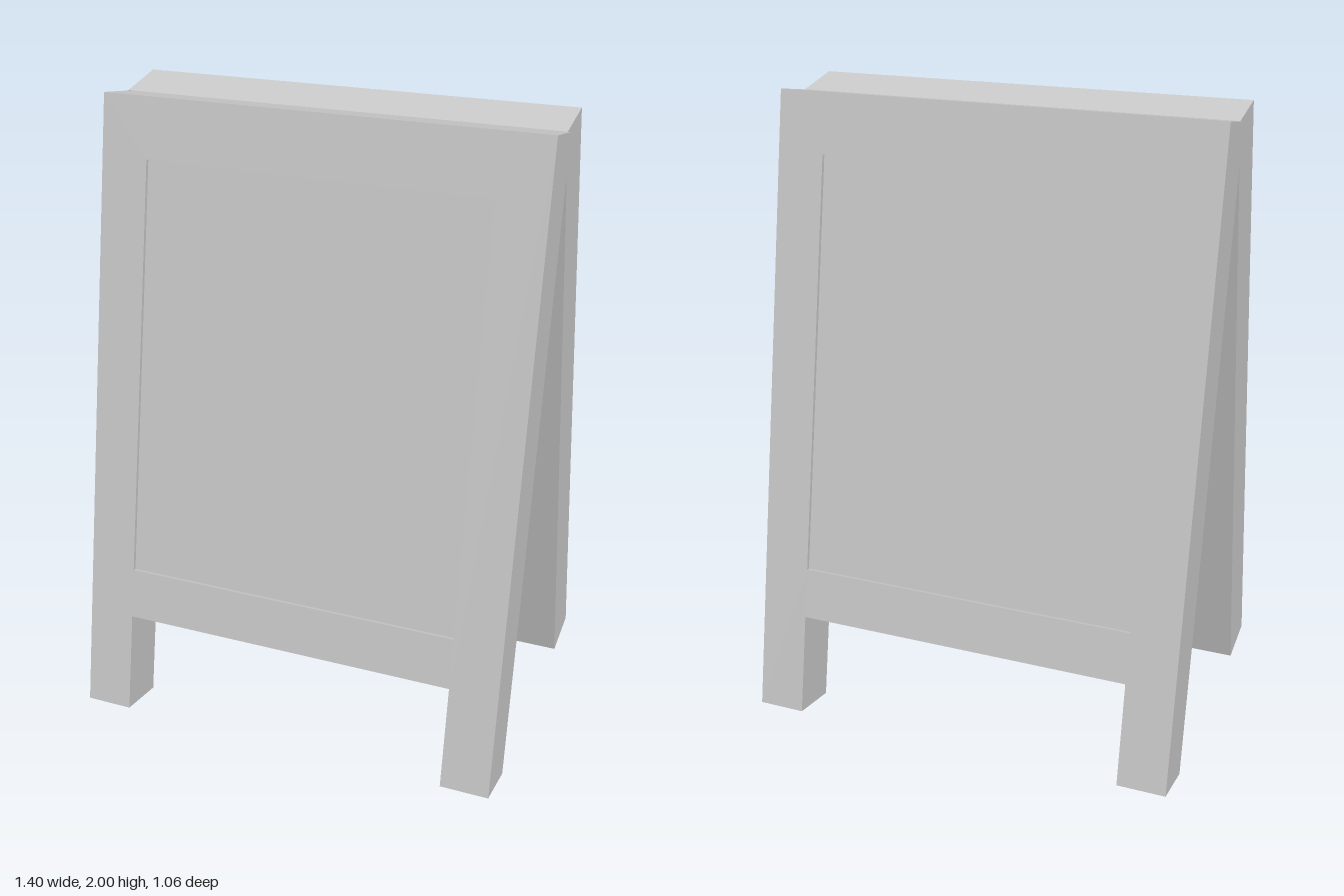
import * as THREE from 'three';

const LENGTH = 2.003, THICK = 0.168, TILT = 0.183, HINGE_Y = 1.97;
const X0 = -0.69, X1 = 0.70;            // outer edges of a panel
const IN0 = -0.54, IN1 = 0.545;         // inner edges of the legs and opening
const RAIL = 0.33, LOW = 0.493, HIGH = 1.816, RECESS = 0.012;

const material = new THREE.MeshStandardMaterial({ color: 0xcccccc, flatShading: true, side: THREE.DoubleSide });

// Remove the end caps of the legs so that the feet are open tubes
function openFeet(geometry) {
  const p = geometry.attributes.position, kept = [];
  for (let i = 0; i < p.count; i += 3) {
    const atFoot = [0, 1, 2].every(k => Math.abs(p.getY(i + k)) < 1e-5);
    if (!atFoot) kept.push(...p.array.slice(i * 3, i * 3 + 9));
  }
  const open = new THREE.BufferGeometry();
  open.setAttribute('position', new THREE.Float32BufferAttribute(kept, 3));
  open.computeVertexNormals();
  return open;
}

function createPanel(name) {
  const panel = new THREE.Group();
  panel.name = name;

  // Frame outline with two legs and a window for the board
  const outline = [[X0, 0], [IN0, 0], [IN0, RAIL], [IN1, RAIL], [IN1, 0], [X1, 0], [X1, LENGTH], [X0, LENGTH]];
  const shape = new THREE.Shape(outline.map(([x, y]) => new THREE.Vector2(x, y)));
  const hole = [[IN0, LOW], [IN0, HIGH], [IN1, HIGH], [IN1, LOW]];
  shape.holes.push(new THREE.Path(hole.map(([x, y]) => new THREE.Vector2(x, y))));
  const extruded = new THREE.ExtrudeGeometry(shape, { depth: THICK, bevelEnabled: false });
  const frame = new THREE.Mesh(openFeet(extruded), material);
  frame.name = 'frame';

  // Writing board, slightly recessed on both faces
  const board = new THREE.Mesh(new THREE.BoxGeometry(IN1 - IN0, HIGH - LOW, THICK - 2 * RECESS), material);
  board.name = 'board';
  board.position.set((IN0 + IN1) / 2, (LOW + HIGH) / 2, THICK / 2);

  // Hang the panel from its inner top edge and lean it outwards
  const body = new THREE.Group();
  body.name = 'panelBody';
  body.add(frame, board);
  body.position.y = -LENGTH;
  const lean = new THREE.Group();
  lean.name = 'leaningPanel';
  lean.rotation.x = -TILT;
  lean.position.y = HINGE_Y;
  lean.add(body);
  panel.add(lean);
  return panel;
}

export function createModel() {
  const model = new THREE.Group();
  model.name = 'sandwichBoard';
  const front = createPanel('frontPanel');
  const back = createPanel('backPanel');
  back.rotation.y = Math.PI;
  model.add(front, back);
  return model;
}
